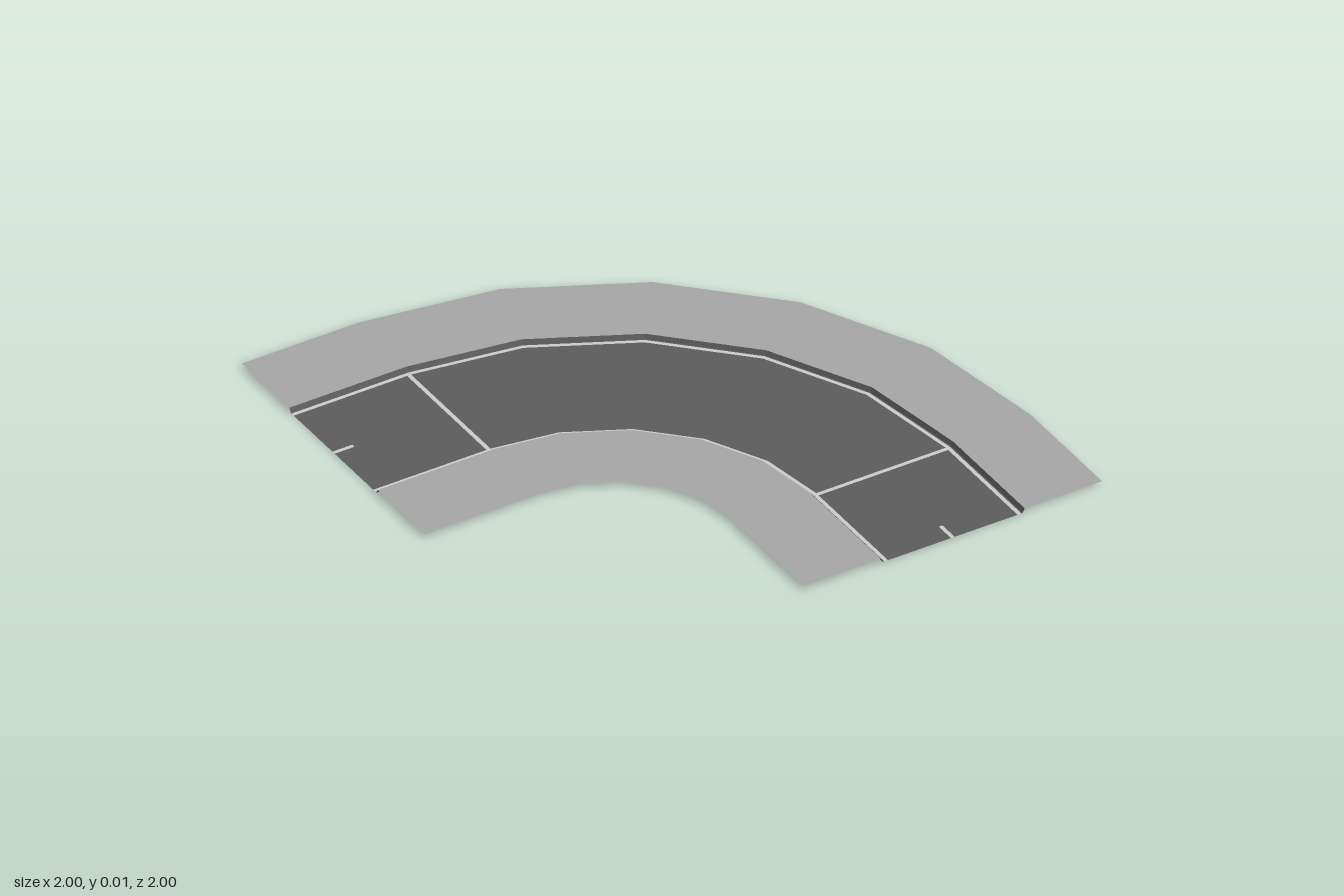
import * as THREE from 'three';

const C = 0.56;        // bend centre sits at (-C, C)
const STEPS = 5;       // flat segments in the bend
const TOP = 0.015;     // pavement height above the road

// Stations along the road: each gives a point for any radius from the bend centre.
const stations = [];
const leads = [-1, -0.925, -0.575];
for (const x of leads) stations.push(r => [x, C - r]);
for (let i = 0; i <= STEPS; i++) {
  const a = (i / STEPS) * Math.PI / 2;
  stations.push(r => [-C + r * Math.sin(a), C - r * Math.cos(a)]);
}
for (const x of [...leads].reverse()) stations.push(r => [-C + r, -x]);
const LAST = stations.length - 1;

// Ribbon between two radii (each with a height), from one station to another.
function ribbon(r0, y0, r1, y1, from = 0, to = LAST) {
  const pos = [];
  const point = (s, r, y) => { const [x, z] = stations[s](r); return [x, y, z]; };
  for (let s = from; s < to; s++) {
    const a = point(s, r0, y0), b = point(s + 1, r0, y0);
    const c = point(s + 1, r1, y1), d = point(s, r1, y1);
    pos.push(...a, ...b, ...c, ...a, ...c, ...d);
  }
  const g = new THREE.BufferGeometry();
  g.setAttribute('position', new THREE.Float32BufferAttribute(pos, 3));
  g.computeVertexNormals();
  return g;
}

export function createModel() {
  const group = new THREE.Group();
  const mat = color => new THREE.MeshStandardMaterial({ color, side: THREE.DoubleSide, flatShading: true });
  const paving = mat(0xa6a6a6), asphalt = mat(0x5c5c5c), paint = mat(0xcccccc);
  const add = (name, material, ...args) => {
    const m = new THREE.Mesh(ribbon(...args), material);
    m.name = name;
    group.add(m);
  };

  // Raised pavements
  add('innerPavement', paving, 0.44, TOP, 0.73, TOP);
  add('outerPavement', paving, 1.27, TOP, 1.56, TOP);

  // Sloped kerbs, gutters and edge lines
  add('innerKerb', asphalt, 0.73, TOP, 0.738, 0);
  add('innerGutter', asphalt, 0.738, 0, 0.743, 0);
  add('innerEdgeLine', paint, 0.743, 0, 0.757, 0);
  add('outerEdgeLine', paint, 1.243, 0, 1.257, 0);
  add('outerGutter', asphalt, 1.257, 0, 1.262, 0);
  add('outerKerb', asphalt, 1.262, 0, 1.27, TOP);

  // Carriageway through the bend
  add('bendRoad', asphalt, 0.757, 0, 1.243, 0, 3, LAST - 3);

  // Straight lead at each end: dash, plain road, cross line
  for (const [name, k] of [['left', s => [s, s + 1]], ['front', s => [LAST - s - 1, LAST - s]]]) {
    add(name + 'EndRoadInner', asphalt, 0.757, 0, 0.993, 0, ...k(0));
    add(name + 'CentreDash', paint, 0.993, 0, 1.007, 0, ...k(0));
    add(name + 'EndRoadOuter', asphalt, 1.007, 0, 1.243, 0, ...k(0));
    add(name + 'LeadRoad', asphalt, 0.757, 0, 1.243, 0, ...k(1));
    add(name + 'CrossLine', paint, 0.757, 0, 1.243, 0, ...k(2));
  }
  return group;
}
